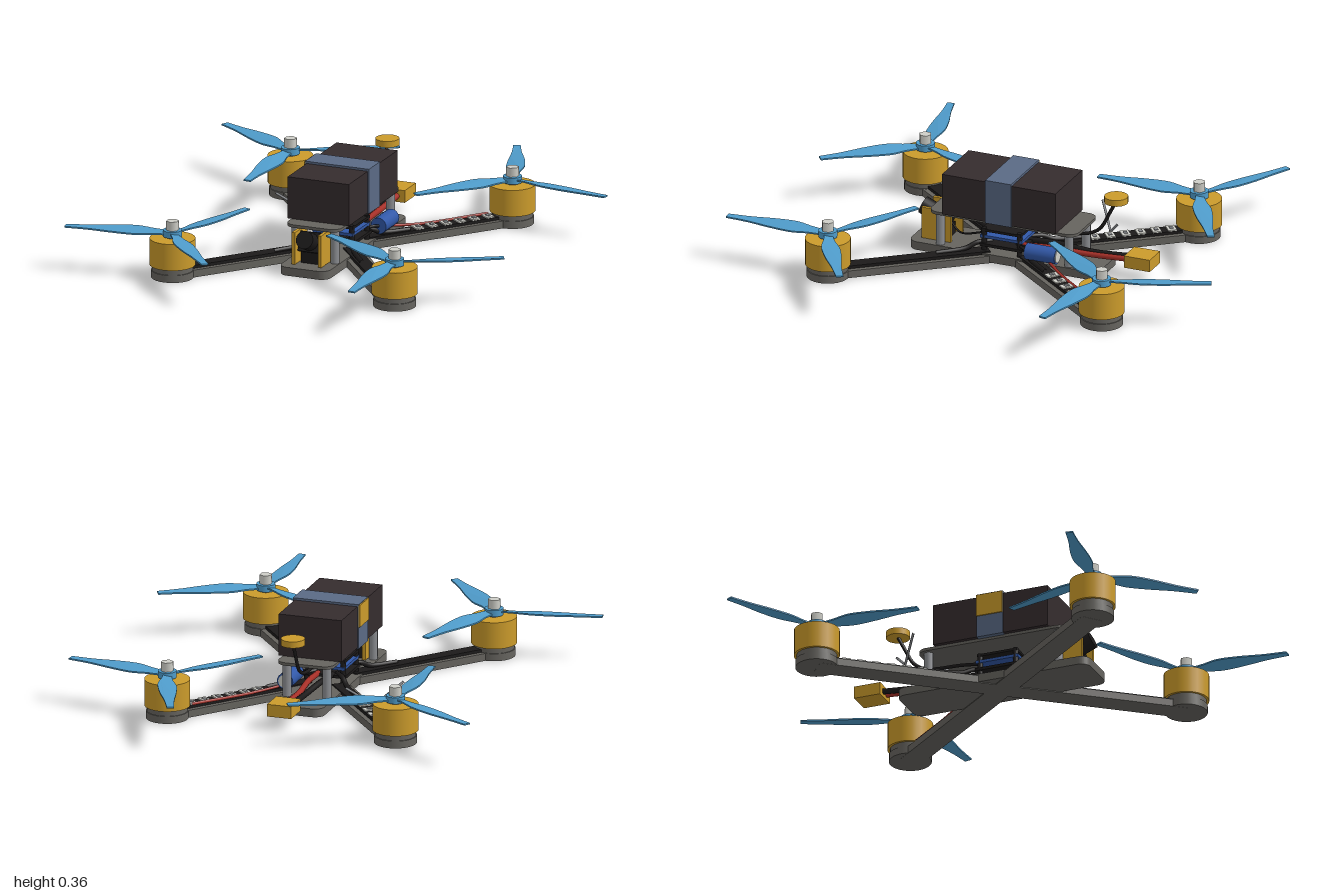
import * as THREE from 'three';

const mat = (name, color) => {
  const m = new THREE.MeshStandardMaterial({ color });
  m.name = name;
  return m;
};

export function createModel() {
  const gold = mat('gold', 0xcb9b2b), grey = mat('frame grey', 0x66645f), black = mat('black', 0x1c1a1a);
  const blue = mat('propeller blue', 0x4f9ccb), pack = mat('battery brown', 0x352c2e);
  const slate = mat('strap slate', 0x5a6a85), royal = mat('capacitor blue', 0x3158a8);
  const red = mat('wire red', 0xa83028), silver = mat('silver', 0xcfcfc8), steel = mat('steel', 0x8b8d91);

  const model = new THREE.Group();
  const add = (name, geo, m, x = 0, y = 0, z = 0, parent = model) => {
    const mesh = new THREE.Mesh(geo, m);
    mesh.name = name;
    mesh.position.set(x, y, z);
    parent.add(mesh);
    return mesh;
  };
  const box = (name, w, h, d, m, x, y, z, parent) => add(name, new THREE.BoxGeometry(w, h, d), m, x, y, z, parent);
  const cyl = (name, r, h, m, x, y, z, parent, sides = 28) =>
    add(name, new THREE.CylinderGeometry(r, r, h, sides), m, x, y, z, parent);
  const wire = (name, pts, r, m) => add(name, new THREE.TubeGeometry(
    new THREE.CatmullRomCurve3(pts.map(p => new THREE.Vector3(...p))), 24, r, 8), m);

  // Rounded flat plate, bottom at y
  const plate = (name, hw, z0, z1, r, y, h) => {
    const s = new THREE.Shape();
    s.moveTo(-hw + r, z0);
    s.lineTo(hw - r, z0); s.absarc(hw - r, z0 + r, r, -Math.PI / 2, 0);
    s.lineTo(hw, z1 - r); s.absarc(hw - r, z1 - r, r, 0, Math.PI / 2);
    s.lineTo(-hw + r, z1); s.absarc(-hw + r, z1 - r, r, Math.PI / 2, Math.PI);
    s.lineTo(-hw, z0 + r); s.absarc(-hw + r, z0 + r, r, Math.PI, Math.PI * 1.5);
    const g = new THREE.ExtrudeGeometry(s, { depth: h, bevelEnabled: false, curveSegments: 6 });
    g.rotateX(Math.PI / 2);
    add(name, g, grey, 0, y + h, 0);
  };
  plate('bottomPlate', 0.105, -0.42, 0.39, 0.04, 0.003, 0.034);
  plate('topPlate', 0.115, -0.33, 0.3, 0.04, 0.172, 0.012);

  // Propeller blade along +x, tapered and twisted
  const outline = new THREE.Shape();
  outline.moveTo(0.02, -0.016);
  outline.splineThru([[0.08, -0.02], [0.15, -0.032], [0.24, -0.028], [0.34, -0.017], [0.43, -0.014]]
    .map(p => new THREE.Vector2(...p)));
  outline.lineTo(0.43, 0.015);
  outline.splineThru([[0.34, 0.023], [0.24, 0.038], [0.15, 0.042], [0.08, 0.026], [0.02, 0.016]]
    .map(p => new THREE.Vector2(...p)));
  const bladeGeo = new THREE.ExtrudeGeometry(outline, { depth: 0.006, bevelEnabled: false, curveSegments: 16 });
  bladeGeo.rotateX(Math.PI / 2);
  const bp = bladeGeo.attributes.position;
  for (let i = 0; i < bp.count; i++) {
    bp.setY(i, bp.getY(i) + bp.getZ(i) * 0.22 * (1 - bp.getX(i) / 0.5));
  }
  bladeGeo.computeVertexNormals();

  // Four arms, each with motor and propeller: x, z, angle of first blade
  const corners = [[0.47, 0.57, 90], [-0.475, 0.57, -70.5], [0.47, -0.6, -111], [-0.475, -0.6, 90]];
  for (const [x, z, phase] of corners) {
    const dx = x, dz = z + 0.015, len = Math.hypot(dx, dz);
    const arm = new THREE.Group();
    arm.name = 'arm';
    arm.position.set(0, 0, -0.015);
    arm.rotation.y = -Math.atan2(dz, dx);
    model.add(arm);
    box('armBeam', len, 0.03, 0.095, grey, len / 2, 0.015, 0, arm);
    box('armCover', len - 0.17, 0.012, 0.055, black, 0.1 + (len - 0.17) / 2, 0.036, 0, arm);
    if (z < 0) {
      // Light strip on the rear arms
      for (let i = 0; i < 6; i++) {
        box('lightStrip', 0.035, 0.006, 0.05, silver, 0.33 + i * 0.062, 0.044, 0, arm);
        box('lightChip', 0.015, 0.007, 0.02, steel, 0.33 + i * 0.062, 0.046, 0, arm);
      }
    }

    const motor = new THREE.Group();
    motor.name = 'motor';
    motor.position.set(x, 0, z);
    model.add(motor);
    cyl('armEnd', 0.084, 0.03, grey, 0, 0.0155, 0, motor);
    cyl('motorBase', 0.08, 0.022, grey, 0, 0.041, 0, motor);
    cyl('motorBell', 0.09, 0.108, gold, 0, 0.106, 0, motor);
    cyl('motorShaft', 0.02, 0.03, steel, 0, 0.165, 0, motor);
    cyl('propellerHub', 0.037, 0.026, blue, 0, 0.18, 0, motor);
    cyl('propellerNut', 0.025, 0.038, silver, 0, 0.211, 0, motor, 6);
    for (let i = 0; i < 3; i++) {
      const blade = add('propellerBlade', bladeGeo, blue, 0, 0.182, 0, motor);
      blade.rotation.y = -THREE.MathUtils.degToRad(phase + i * 120);
    }

    // Motor wires rising from the arm to the electronics
    const ux = dx / len, uz = dz / len;
    wire('motorWire', [[ux * 0.3, 0.043, uz * 0.3], [ux * 0.18, 0.05, uz * 0.18],
      [ux * 0.13, 0.07, uz * 0.13], [ux * 0.07, 0.07, uz * 0.07]], 0.01, black);
  }
  wire('armWire', [[0.09, 0.06, -0.19], [0.2, 0.046, -0.31], [0.39, 0.046, -0.54]], 0.006, red);

  // Standoffs and electronics stack
  for (const s of [-1, 1]) {
    for (const z of [0.26, -0.29]) cyl('standoff', 0.018, 0.14, steel, s * 0.083, 0.104, z, model, 12);
    for (const z of [0.075, -0.075]) cyl('stackPost', 0.011, 0.1, black, s * 0.075, 0.085, z, model, 10);
  }
  box('powerBoard', 0.18, 0.012, 0.18, black, 0, 0.066, 0);
  box('controlBoard', 0.17, 0.012, 0.18, royal, 0, 0.1, 0);
  box('receiverBoard', 0.17, 0.01, 0.17, black, 0, 0.127, 0);
  box('boardChip', 0.06, 0.008, 0.1, silver, 0, 0.136, 0);

  // Capacitor lying beside the stack
  cyl('capacitor', 0.033, 0.13, royal, 0.105, 0.08, -0.185, model, 20).rotation.x = Math.PI / 2;
  cyl('capacitorEnd', 0.027, 0.004, silver, 0.105, 0.08, -0.251, model, 20).rotation.x = Math.PI / 2;
  wire('capacitorLead', [[0.105, 0.08, -0.12], [0.09, 0.085, -0.09], [0.06, 0.07, -0.07]], 0.006, black);

  // Camera between its brackets
  for (const s of [-1, 1]) box('cameraBracket', 0.014, 0.13, 0.125, gold, s * 0.056, 0.104, 0.287);
  box('cameraBody', 0.09, 0.08, 0.07, black, 0, 0.115, 0.285).rotation.x = -0.4;
  cyl('cameraLens', 0.036, 0.06, black, 0, 0.14, 0.342, model, 20).rotation.x = Math.PI / 2 - 0.4;
  box('cameraMount', 0.08, 0.05, 0.06, black, 0, 0.06, 0.28);
  wire('cameraWire', [[0, 0.1, 0.25], [0.02, 0.07, 0.2], [0.02, 0.095, 0.08]], 0.004, black);

  // Battery with strap and buckle
  box('battery', 0.26, 0.17, 0.485, pack, 0, 0.27, -0.01);
  box('batteryStrap', 0.272, 0.182, 0.11, slate, 0, 0.273, -0.01);
  box('strapBuckle', 0.006, 0.09, 0.11, gold, -0.138, 0.316, -0.01);

  // Power lead with connector
  for (const [s, m] of [[-1, black], [1, red]]) {
    wire('powerLead', [[s * 0.03, 0.068, -0.07], [s * 0.025, 0.075, -0.2],
      [s * 0.014, 0.07, -0.35], [s * 0.016, 0.08, -0.53]], 0.012, m);
  }
  box('powerConnector', 0.1, 0.05, 0.11, gold, 0, 0.08, -0.565);

  // Raised video antenna
  wire('antennaStalk', [[0, 0.125, -0.06], [0, 0.14, -0.18], [0, 0.15, -0.33],
    [0, 0.18, -0.385], [0, 0.25, -0.425], [0, 0.31, -0.455]], 0.007, black);
  cyl('antennaCap', 0.047, 0.026, gold, 0, 0.318, -0.455);

  // V-shaped receiver antenna on one rear arm
  for (const [x, z] of [[-0.38, -0.23], [-0.19, -0.38]]) {
    wire('receiverAntenna', [[-0.285, 0.042, -0.305], [x, 0.125, z]], 0.005, steel);
  }
  return model;
}
